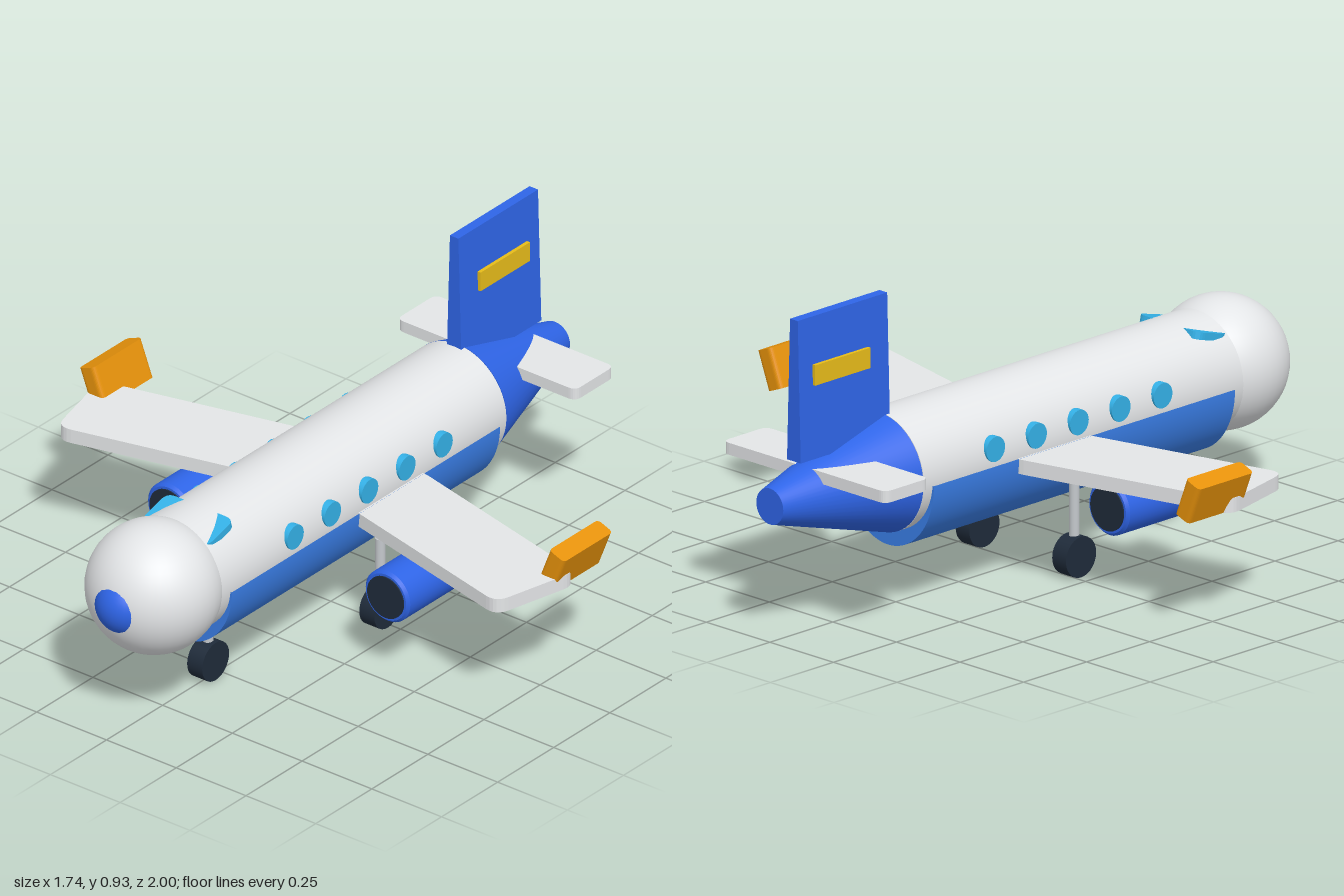
import * as THREE from 'three';

const mat = (name, color) => {
  const m = new THREE.MeshStandardMaterial({ color });
  m.name = name;
  return m;
};

export function createModel() {
  const white = mat('body white', 0xe8eaec);
  const blue = mat('trim blue', 0x2f66ea);
  const bellyBlue = mat('belly blue', 0x3b80ea);
  const cyan = mat('glass cyan', 0x35b3ea);
  const orange = mat('winglet orange', 0xf0980c);
  const yellow = mat('stripe yellow', 0xf5c71c);
  const dark = mat('rubber dark', 0x1f2b3a);
  const metal = mat('strut grey', 0xc4c8cc);

  const model = new THREE.Group();
  model.name = 'airplane';

  const add = (name, geo, material, x = 0, y = 0, z = 0, parent = model) => {
    const mesh = new THREE.Mesh(geo, material);
    mesh.name = name;
    mesh.position.set(x, y, z);
    parent.add(mesh);
    return mesh;
  };

  // Cylinder lying along z, r1 at the front end
  const zCylinder = (r1, r2, length, sides = 40) =>
    new THREE.CylinderGeometry(r1, r2, length, sides).rotateX(Math.PI / 2);

  // Flat slab with rounded corners in plan, centred on its origin
  const slab = (w, d, h, r) => {
    const x = w / 2, y = d / 2, s = new THREE.Shape();
    s.moveTo(-x + r, -y);
    s.lineTo(x - r, -y);
    s.quadraticCurveTo(x, -y, x, -y + r);
    s.lineTo(x, y - r);
    s.quadraticCurveTo(x, y, x - r, y);
    s.lineTo(-x + r, y);
    s.quadraticCurveTo(-x, y, -x, y - r);
    s.lineTo(-x, -y + r);
    s.quadraticCurveTo(-x, -y, -x + r, -y);
    return new THREE.ExtrudeGeometry(s, { depth: h, bevelEnabled: false, curveSegments: 6 })
      .translate(0, 0, -h / 2).rotateX(-Math.PI / 2);
  };

  // Fuselage, nose and tail
  add('fuselage', zCylinder(0.175, 0.175, 1.36, 48), white, 0, 0.4, 0.115);
  add('nose', new THREE.SphereGeometry(0.195, 40, 28), white, 0, 0.403, 0.788);
  add('noseTip', new THREE.SphereGeometry(0.09, 32, 20), blue, 0, 0.402, 0.91);
  add('tailCone', zCylinder(0.175, 0.053, 0.433, 48), blue, 0, 0.4, -0.7835);

  // Belly fairing: lower half of an elliptical cylinder
  const belly = new THREE.CylinderGeometry(1, 1, 1.195, 40, 1, false, -Math.PI / 2, Math.PI)
    .rotateX(Math.PI / 2).scale(0.18, 0.214, 1);
  add('belly', belly, bellyBlue, 0, 0.39, 0.067);

  // Fin, thinner towards the top, with a stripe through it
  const fin = new THREE.BoxGeometry(0.054, 0.417, 0.355);
  const p = fin.attributes.position;
  for (let i = 0; i < p.count; i++) if (p.getY(i) > 0) p.setX(i, p.getX(i) * 0.56);
  fin.computeVertexNormals();
  add('fin', fin, blue, 0, 0.7185, -0.727);
  add('finStripe', new THREE.BoxGeometry(0.06, 0.06, 0.22), yellow, 0, 0.757, -0.74);

  add('tailplane', slab(0.64, 0.173, 0.035, 0.025), white, 0, 0.468, -0.778);

  // Windscreen plate poking through the upper fuselage
  const screen = add('windscreen', slab(0.24, 0.125, 0.021, 0.03), cyan, 0, 0.538, 0.637);
  screen.rotation.x = 0.26;

  // Landing gear leg with wheel
  const addGear = (name, x, z) => {
    const gear = new THREE.Group();
    gear.name = name;
    gear.position.set(x, 0, z);
    model.add(gear);
    add('strut', new THREE.CylinderGeometry(0.015, 0.015, 0.21, 16), metal, 0, 0.175, 0, gear);
    add('wheel', new THREE.CylinderGeometry(0.06, 0.06, 0.054, 28).rotateZ(Math.PI / 2),
      dark, 0, 0.06, 0, gear);
  };
  addGear('noseGear', 0, 0.547);

  // Engine shell with softened rims
  const shell = new THREE.LatheGeometry(
    [[0, -0.146], [0.072, -0.146], [0.072, -0.146], [0.08, -0.137], [0.08, -0.137],
      [0.08, 0.137], [0.08, 0.137], [0.072, 0.146], [0.072, 0.146], [0, 0.146]]
      .map(([r, y]) => new THREE.Vector2(r, y)), 36).rotateX(Math.PI / 2);

  for (const s of [1, -1]) {
    const side = s > 0 ? 'left' : 'right';

    // Forward-swept wing, its length running along local x
    const angle = 0.238, u = 0.4615, v = -0.09;
    const wing = add(side + 'Wing', slab(0.723, 0.283, 0.043, 0.045), white,
      s * (u * Math.cos(angle) - v * Math.sin(angle)), 0.368,
      u * Math.sin(angle) + v * Math.cos(angle));
    wing.rotation.y = -s * angle;

    const winglet = add(side + 'Winglet', slab(0.057, 0.218, 0.118, 0.015), orange,
      s * 0.822, 0.412, -0.066);
    winglet.rotation.z = -s * 0.37;

    add(side + 'Engine', shell, blue, s * 0.39, 0.26, 0.093);
    add(side + 'EngineFan', zCylinder(0.065, 0.065, 0.3, 32), dark, s * 0.39, 0.26, 0.093);

    addGear(side + 'MainGear', s * 0.19, 0.016);

    // Row of five round cabin windows
    for (let i = 0; i < 5; i++) {
      add(side + 'Window', new THREE.CylinderGeometry(0.037, 0.037, 0.04, 28).rotateZ(Math.PI / 2),
        cyan, s * 0.159, 0.44, 0.38 - i * 0.166);
    }
  }
  return model;
}
